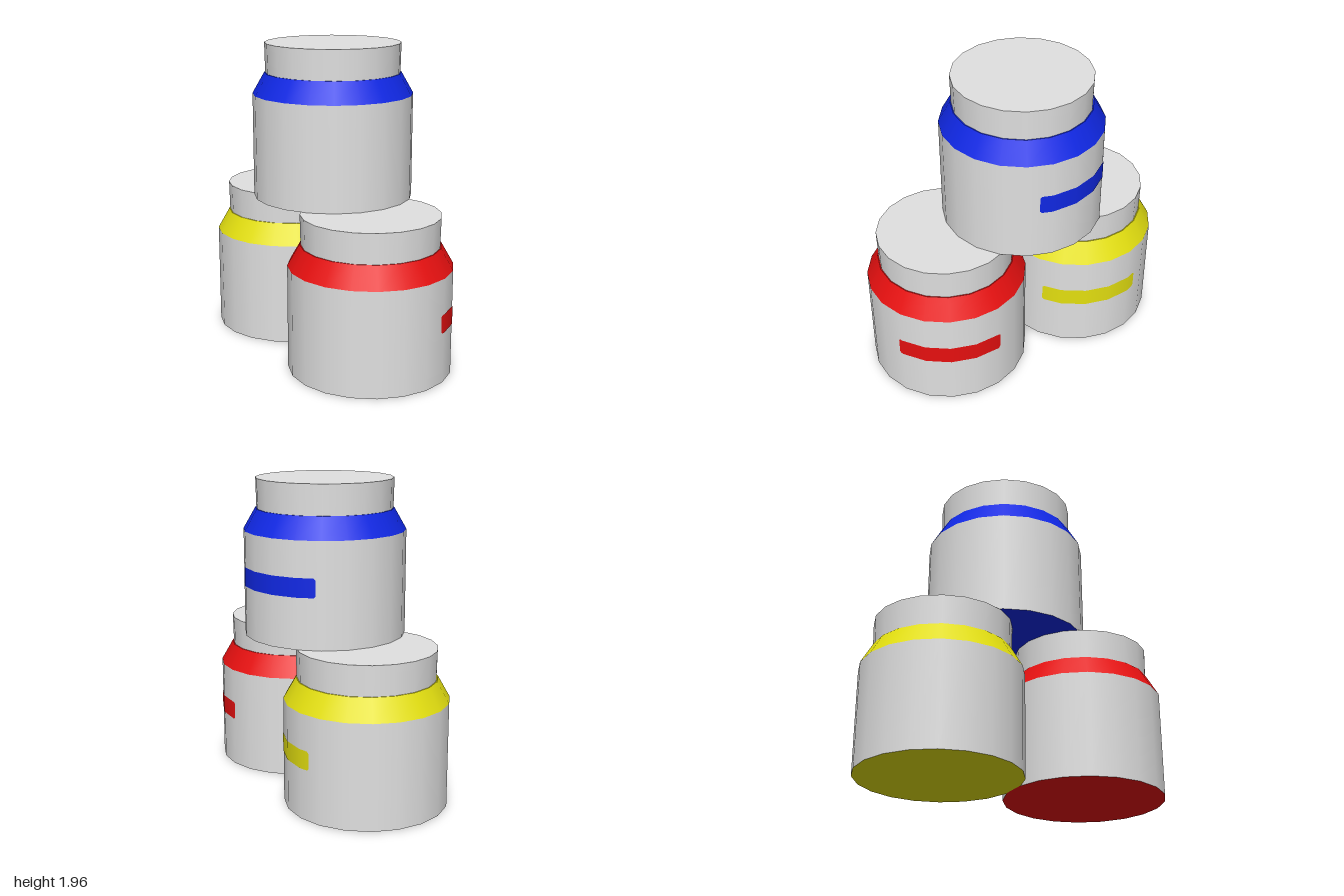
import * as THREE from 'three';

const SIDES = 20, R = 0.508;
const mat = (name, color) => {
  const m = new THREE.MeshStandardMaterial({ color });
  m.name = name;
  return m;
};
const rad = THREE.MathUtils.degToRad;

// Curved label strip that follows the facets of the body, with clipped corners
function labelGeometry(start, end, y0, y1, phase) {
  const step = 360 / SIDES, clip = 1.3, c = 0.011;
  const angles = [start, start + clip, end - clip, end];
  for (let a = phase; a < end - clip; a += step) if (a > start + clip) angles.push(a);
  angles.sort((a, b) => a - b);
  const pos = [], norm = [], index = [];
  angles.forEach((a, i) => {
    const local = (((a - phase) % step) + step) % step;
    const r = R * Math.cos(rad(step / 2)) / Math.cos(rad(local - step / 2)) + 0.003;
    const s = Math.sin(rad(a)), k = Math.cos(rad(a));
    const inset = i === 0 || i === angles.length - 1 ? c : 0;
    pos.push(s * r, y0 + inset, k * r, s * r, y1 - inset, k * r);
    norm.push(s, 0, k, s, 0, k);
    if (i) {
      const b = 2 * (i - 1);
      index.push(b, b + 2, b + 1, b + 1, b + 2, b + 3);
    }
  });
  const g = new THREE.BufferGeometry();
  g.setAttribute('position', new THREE.Float32BufferAttribute(pos, 3));
  g.setAttribute('normal', new THREE.Float32BufferAttribute(norm, 3));
  g.setIndex(index);
  return g;
}

function createJar(name, white, paint, phase, labelStart, labelEnd) {
  const jar = new THREE.Group();
  jar.name = name;
  const add = (part, geometry, material, y = 0) => {
    const mesh = new THREE.Mesh(geometry, material);
    mesh.name = part;
    mesh.position.y = y;
    jar.add(mesh);
  };
  const drum = (top, bottom, h, open = false) =>
    new THREE.CylinderGeometry(top, bottom, h, SIDES, 1, open, rad(phase));

  // Body with a painted underside
  add('body', drum(R, R, 0.657), [white, white, paint], 0.3285);
  // Sloping coloured shoulder
  add('shoulder', drum(0.432, R, 0.133), paint, 0.7235);
  // Neck with a flat top
  add('neck', drum(0.43, 0.426, 0.187), white, 0.8835);
  // Coloured label on the side
  add('label', labelGeometry(labelStart, labelEnd, 0.318, 0.436, phase), paint);
  return jar;
}

export function createModel() {
  const model = new THREE.Group();
  model.name = 'stackedJars';
  const white = mat('white', 0xe0e0e0);
  const red = mat('red', 0xe81010);
  const yellow = mat('yellow', 0xe4e010);
  const blue = mat('blue', 0x1028e6);

  const jars = [
    ['redJar', red, 5, 20, 97, -0.045, 0, 0.497],
    ['yellowJar', yellow, 7, 28, 105, 0.02, 0, -0.497],
    ['blueJar', blue, 3, 66, 143, 0.04, 0.978, -0.035],
  ];
  for (const [name, paint, phase, from, to, x, y, z] of jars) {
    const jar = createJar(name, white, paint, phase, from, to);
    jar.position.set(x, y, z);
    model.add(jar);
  }
  return model;
}
